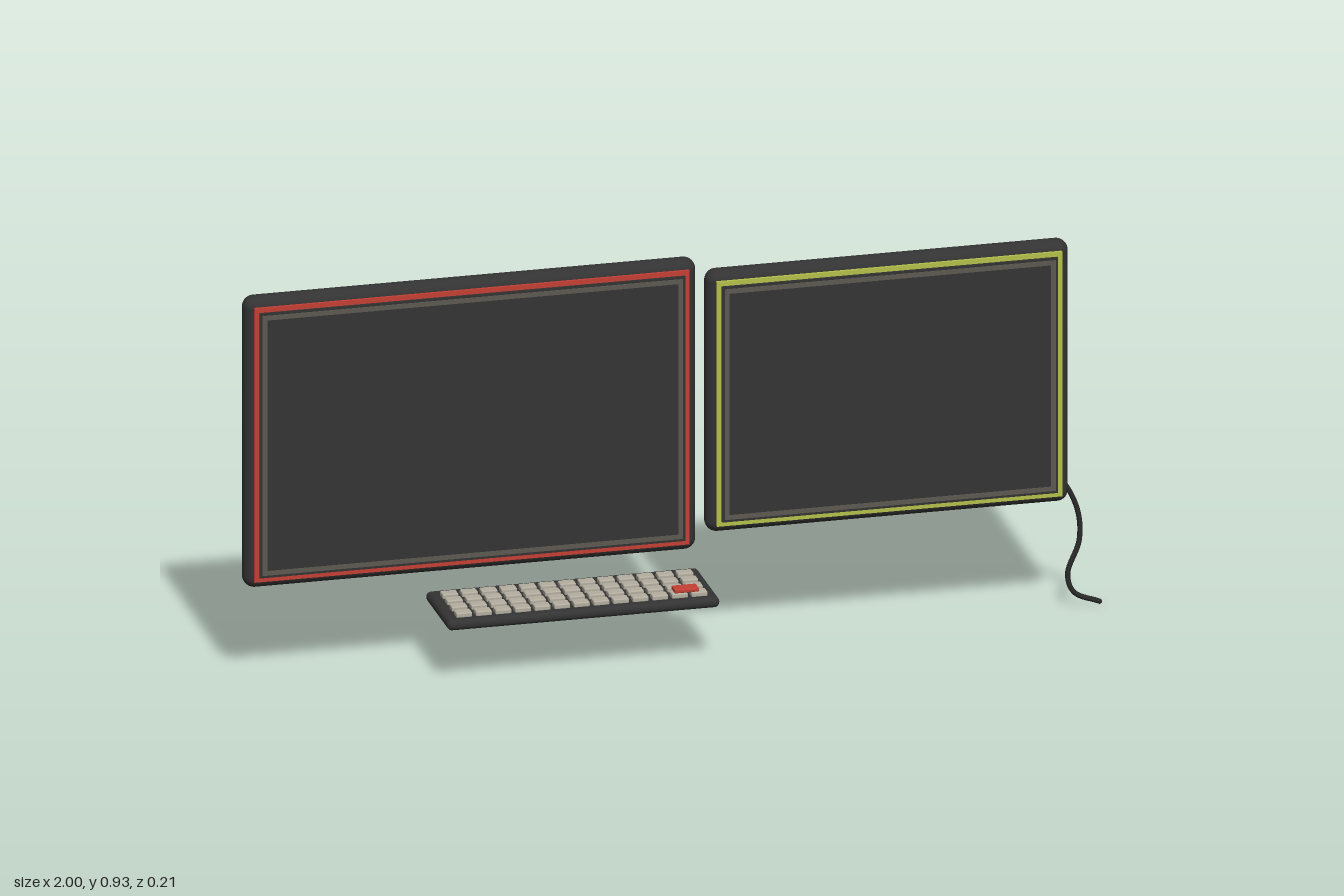
import * as THREE from 'three';
import { RoundedBoxGeometry } from 'three/addons/geometries/RoundedBoxGeometry.js';

const mat = (name, color) => {
  const m = new THREE.MeshStandardMaterial({ color });
  m.name = name;
  return m;
};

export function createModel() {
  const casing = mat('charcoal casing', 0x333333);
  const glass = mat('dark screen', 0x343434);
  const trim = mat('grey trim', 0x5c5952);
  const red = mat('red accent', 0xc43f33);
  const green = mat('green accent', 0xb4c04a);
  const keyCap = mat('beige key', 0xb4aea0);
  const cableMat = mat('cable black', 0x2a2a2a);

  const model = new THREE.Group();
  model.name = 'dualMonitorDesk';

  function add(parent, name, geometry, material, x = 0, y = 0, z = 0) {
    const mesh = new THREE.Mesh(geometry, material);
    mesh.name = name;
    mesh.position.set(x, y, z);
    parent.add(mesh);
    return mesh;
  }

  // Rectangular ring of width t, extruded from z = 0 to z = depth
  function ring(w, h, t, depth) {
    const rect = (target, a, b) => {
      target.moveTo(-a, -b);
      target.lineTo(a, -b);
      target.lineTo(a, b);
      target.lineTo(-a, b);
      target.closePath();
      return target;
    };
    const shape = rect(new THREE.Shape(), w / 2, h / 2);
    shape.holes.push(rect(new THREE.Path(), w / 2 - t, h / 2 - t));
    return new THREE.ExtrudeGeometry(shape, { depth, bevelEnabled: false });
  }

  // Monitor: rounded shell, coloured rim, raised bezel, thin trim and screen
  function monitor(name, x0, x1, y0, y1, accent) {
    const g = new THREE.Group();
    g.name = name;
    const w = x1 - x0, h = y1 - y0;
    g.position.set((x0 + x1) / 2, (y0 + y1) / 2, 0);
    add(g, 'shell', new RoundedBoxGeometry(w, h, 0.055, 6, 0.0265), casing, 0, 0, -0.0375);
    add(g, 'accentRim', ring(w - 0.04, h - 0.04, 0.012, 0.008), accent, 0, 0, -0.012);
    add(g, 'bezel', new THREE.BoxGeometry(w - 0.062, h - 0.062, 0.012), casing, 0, 0, -0.005);
    add(g, 'screenTrim', ring(w - 0.074, h - 0.074, 0.011, 0.003), trim, 0, 0, 0);
    add(g, 'screen', new THREE.BoxGeometry(w - 0.096, h - 0.096, 0.004), glass, 0, 0, 0);
    model.add(g);
  }
  monitor('largeMonitor', -1.0, 0.05, 0.235, 0.932, red);
  monitor('smallMonitor', 0.073, 0.915, 0.271, 0.898, green);

  // Keyboard: slim rounded base with four rows of keys
  const keyboard = new THREE.Group();
  keyboard.name = 'keyboard';
  keyboard.position.set(-0.2425, 0, 0);
  add(keyboard, 'keyboardBase', new RoundedBoxGeometry(0.632, 0.025, 0.21, 4, 0.012), casing, 0, 0.1495, 0);
  const keyGeo = new RoundedBoxGeometry(0.037, 0.012, 0.027, 2, 0.003);
  for (let row = 0; row < 4; row++) {
    for (let col = 0; col < 13; col++) {
      add(keyboard, 'key', keyGeo, keyCap, (col - 6) * 0.0455, 0.1665, 0.072 - row * 0.042);
    }
  }
  add(keyboard, 'redKey', new RoundedBoxGeometry(0.057, 0.01, 0.031, 2, 0.003), red, 0.2445, 0.1765, 0.066);
  model.add(keyboard);

  // Cable hanging from the back of the small monitor
  const path = [
    [0.835, 0.36], [0.905, 0.312], [0.945, 0.235], [0.95, 0.16],
    [0.923, 0.08], [0.938, 0.035], [0.997, 0.008],
  ].map(([x, y]) => new THREE.Vector3(x, y, -0.066));
  const cable = add(model, 'cable',
    new THREE.TubeGeometry(new THREE.CatmullRomCurve3(path), 64, 0.006, 10, false), cableMat);

  // Rounded cable ends
  for (const p of [path[0], path[path.length - 1]]) {
    add(cable, 'cableEnd', new THREE.SphereGeometry(0.006, 10, 8), cableMat, p.x, p.y, p.z);
  }

  return model;
}
